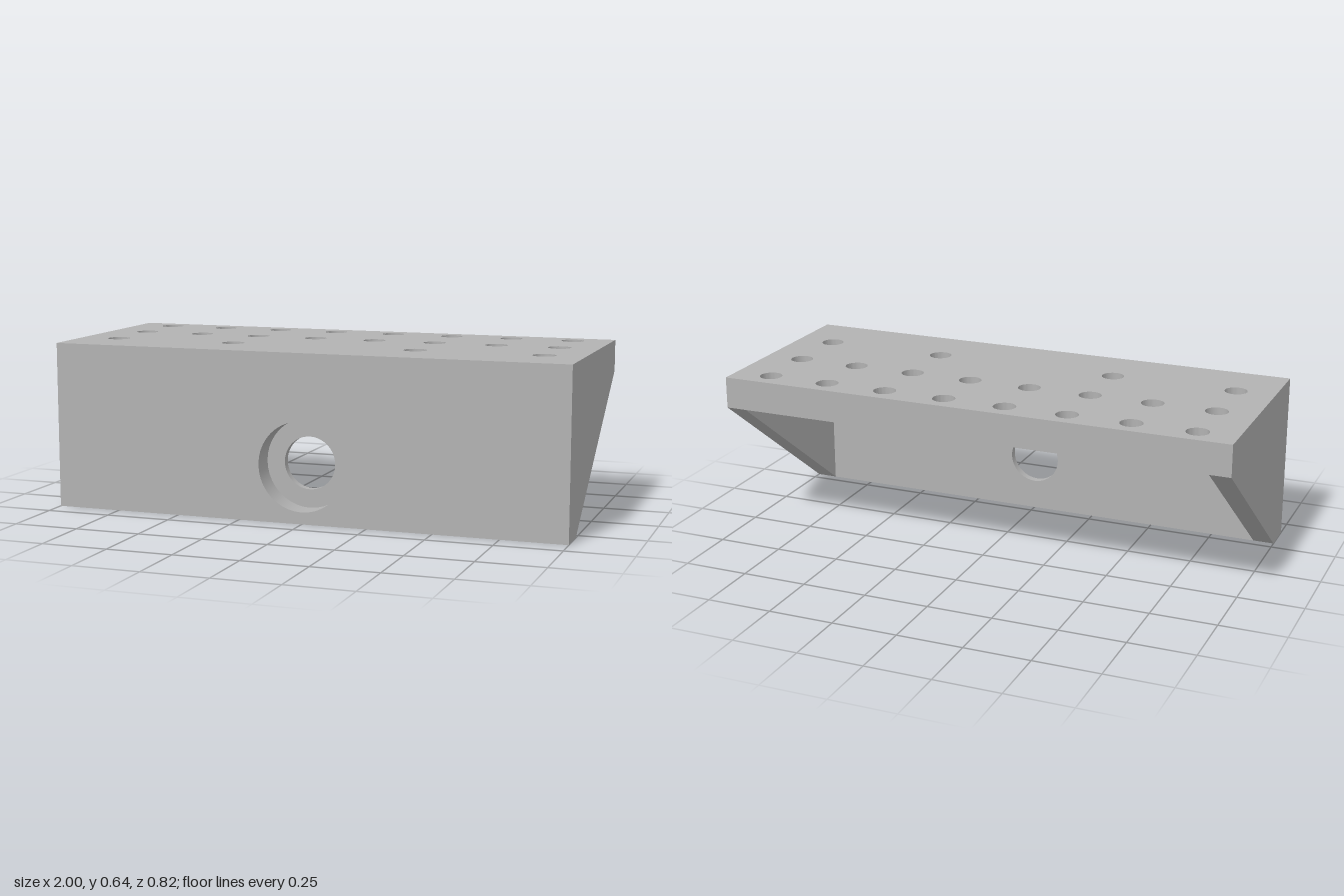
import * as THREE from 'three';
import { toCreasedNormals } from 'three/addons/utils/BufferGeometryUtils.js';

const H = 0.637;      // overall height
const D = 0.408;      // half depth
const T = 0.121;      // thickness of the top and front plates
const SKIN = 0.03;    // material left behind the recesses
const WALL = 0.08;    // side wall thickness

const polygon = (pts) => new THREE.Shape(pts.map(([x, y]) => new THREE.Vector2(x, y)));

const rect = (x0, y0, x1, y1) => polygon([[x0, y0], [x1, y0], [x1, y1], [x0, y1]]);

function roundHole(x, y, r) {
  const p = new THREE.Path();
  p.absarc(x, y, r, 0, Math.PI * 2, true);
  return p;
}

function hexHole(x, y, r) {
  const pts = [];
  for (let i = 0; i < 6; i++) {
    const a = Math.PI / 2 - (i * Math.PI) / 3;
    pts.push(new THREE.Vector2(x + r * Math.cos(a), y + r * Math.sin(a)));
  }
  return new THREE.Path(pts);
}

function extrude(shape, depth) {
  const g = new THREE.ExtrudeGeometry(shape, { depth, bevelEnabled: false, curveSegments: 20 });
  return toCreasedNormals(g, Math.PI / 6);
}

export function createModel() {
  const group = new THREE.Group();
  group.name = 'mountingBracket';
  const grey = new THREE.MeshStandardMaterial({ color: 0xb2b2b2 });
  grey.name = 'plain grey';

  const add = (name, geometry) => {
    const mesh = new THREE.Mesh(geometry, grey);
    mesh.name = name;
    group.add(mesh);
    return mesh;
  };

  // Top plate: two layers, the lower one with hexagonal nut pockets
  const nutX = [-0.85, -0.364, 0.364, 0.85];
  const topLayer = (name, y, depth, nutHole) => {
    const shape = rect(-1, -D, 1, D);
    for (let i = 0; i < 8; i++) {
      const x = -0.85 + (i * 1.7) / 7;
      for (const z of [-0.323, -0.08]) shape.holes.push(roundHole(x, -z, 0.043));
    }
    for (const x of nutX) shape.holes.push(nutHole(x, -0.178));
    const g = extrude(shape, depth);
    g.rotateX(-Math.PI / 2);
    g.translate(0, y, 0);
    add(name, g);
  };
  topLayer('topPlateUpper', H - SKIN, SKIN, (x, y) => roundHole(x, y, 0.043));
  topLayer('topPlateLower', H - T, T - SKIN, (x, y) => hexHole(x, y, 0.068));

  // Front plate: two layers forming a counterbored hole
  const frontLayer = (name, z, depth, radius) => {
    const shape = rect(-1, 0, 1, H - T);
    shape.holes.push(roundHole(0, 0.215, radius));
    const g = extrude(shape, depth);
    g.translate(0, 0, z);
    add(name, g);
  };
  frontLayer('frontPlateOuter', D - T + SKIN, T - SKIN, 0.17);
  frontLayer('frontPlateInner', D - T, SKIN, 0.1);

  // Triangular side walls
  const gusset = polygon([[D - T, 0], [D - T, H - T], [-D, H - T]]);
  for (const [name, x] of [['leftWall', 1], ['rightWall', -1 + WALL]]) {
    const g = extrude(gusset, WALL);
    g.rotateY(-Math.PI / 2);
    g.translate(x, 0, 0);
    add(name, g);
  }

  return group;
}
